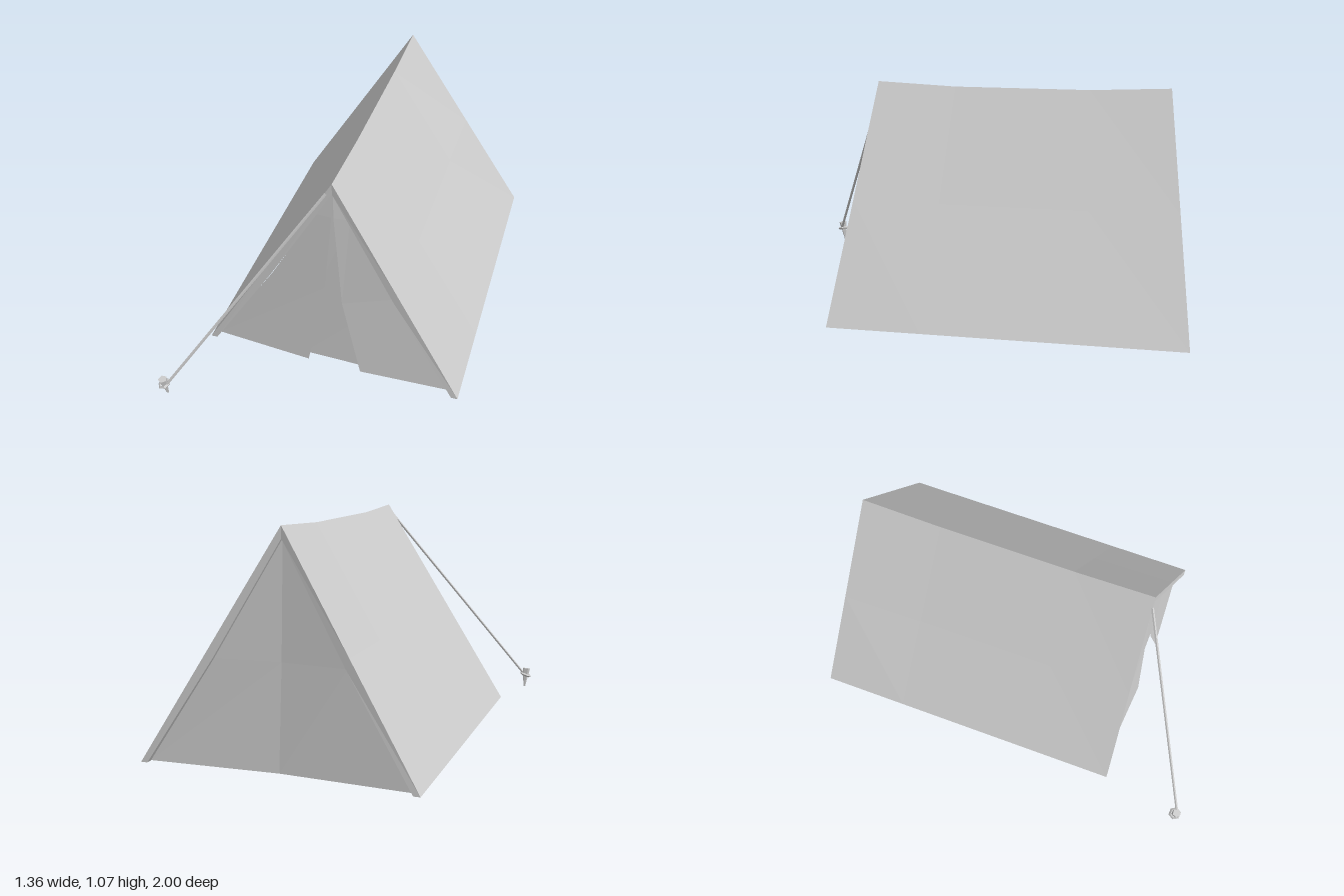
import * as THREE from 'three';

const cloth = new THREE.MeshStandardMaterial({ color: 0xcccccc, flatShading: true, side: THREE.DoubleSide });
const solid = new THREE.MeshStandardMaterial({ color: 0xcccccc, flatShading: true });
const lerp = THREE.MathUtils.lerp;

function mesh(name, geometry, material) {
  const m = new THREE.Mesh(geometry, material);
  m.name = name;
  return m;
}

// Joins rows of points into an open, flat-shaded sheet
function sheet(rows) {
  const n = rows[0].length;
  const index = [];
  for (let j = 0; j < rows.length - 1; j++) {
    for (let i = 0; i < n - 1; i++) {
      const a = j * n + i;
      index.push(a, a + 1, a + n + 1, a, a + n + 1, a + n);
    }
  }
  const g = new THREE.BufferGeometry();
  g.setAttribute('position', new THREE.Float32BufferAttribute(rows.flat(2), 3));
  g.setIndex(index);
  const flat = g.toNonIndexed();
  flat.computeVertexNormals();
  return flat;
}

// Height fraction and side of the five points from the right base over the ridge to the left base
const ARCH = [[-1, 0], [-1, 0.5], [1, 1], [1, 0.5], [1, 0]];

// Arch of the tent at u = 0 (front) to 1 (back), from half widths and heights at base, middle and ridge
function arch(u, widths, heights, push = 0) {
  return ARCH.map(([side, v]) => {
    const front = lerp(side < 0 ? 0.583 : 0.633, 0.53, v);
    const back = lerp(-1, -0.885, v);
    return [0.05 + side * widths[v * 2], heights[v * 2], lerp(front, back, u) + push];
  });
}
const outer = (u) => arch(u, [0.634, 0.317, 0], [0.028, 0.548, 1.068]);
const sagged = (u) => arch(u, [0.634, 0.311, 0], [0.028, 0.544, 1.051]);
const inner = (u, push) => arch(u, [0.603, 0.302, 0], [0.028, 0.5, 1.013], push);

export function createModel() {
  const group = new THREE.Group();

  // Thin roof cloth with a slightly sagging ridge
  group.add(mesh('roof', sheet([outer(0), sagged(0.27), sagged(0.73), outer(1)]), cloth));

  // Folded hems around both ends
  group.add(mesh('frontHem', sheet([inner(0, -0.07), inner(0), outer(0)]), cloth));
  group.add(mesh('backHem', sheet([outer(1), inner(1), inner(1, 0.07)]), cloth));

  // Front door: two flaps over a recessed inner sheet
  const apex = [0.05, 1.013, 0.515];
  group.add(mesh('rightFlap', sheet([
    [[-0.553, 0.03, 0.545], [-0.065, 0.03, 0.592]],
    [[-0.252, 0.49, 0.535], [0.015, 0.49, 0.556]],
    [[-0.029, 0.885, 0.522], [0.045, 0.885, 0.53]],
    [apex, apex],
  ]), cloth));
  group.add(mesh('leftFlap', sheet([
    [[0.2, 0.035, 0.605], [0.653, 0.028, 0.59]],
    [[0.1, 0.42, 0.565], [0.352, 0.5, 0.55]],
    [[0.055, 0.885, 0.53], [0.129, 0.885, 0.525]],
    [apex, apex],
  ]), cloth));
  group.add(mesh('doorInnerSheet', sheet([
    [[-0.1, 0.03, 0.55], [0.653, 0.03, 0.575]],
    [[-0.015, 0.48, 0.53], [0.352, 0.5, 0.535]],
    [[0.035, 0.885, 0.518], [0.129, 0.885, 0.515]],
    [apex, apex],
  ]), cloth));

  // Back wall, creased down the middle
  group.add(mesh('backWall', sheet([
    [[0.653, 0.03, -0.972], [0.05, 0.03, -0.942], [-0.553, 0.03, -0.972]],
    [[0.352, 0.5, -0.925], [0.05, 0.5, -0.9], [-0.252, 0.5, -0.925]],
    [[0.05, 1.013, -0.87], [0.05, 1.013, -0.87], [0.05, 1.013, -0.87]],
  ]), cloth));

  // Guy rope from the ridge down to the stake
  const rope = new THREE.LineCurve3(new THREE.Vector3(0.022, 1.012, 0.53), new THREE.Vector3(-0.635, 0.075, 0.98));
  group.add(mesh('guyRope', new THREE.TubeGeometry(rope, 1, 0.007, 5), solid));

  // Leaning stake: tapered pin, rope loop and head
  const stake = new THREE.Group();
  stake.name = 'stake';
  stake.position.set(-0.645, 0, 0.963);
  stake.rotation.set(0.15, 0, 0.06);
  const pin = mesh('stakePin', new THREE.CylinderGeometry(0.017, 0.006, 0.08, 5), solid);
  pin.position.y = 0.042;
  const loop = mesh('ropeLoop', new THREE.TorusGeometry(0.025, 0.008, 4, 6), solid);
  loop.rotation.set(Math.PI / 2, 0.25, 0);
  loop.position.y = 0.07;
  const head = mesh('stakeHead', new THREE.CylinderGeometry(0.022, 0.018, 0.03, 5), solid);
  head.position.y = 0.092;
  stake.add(pin, loop, head);
  group.add(stake);

  return group;
}
